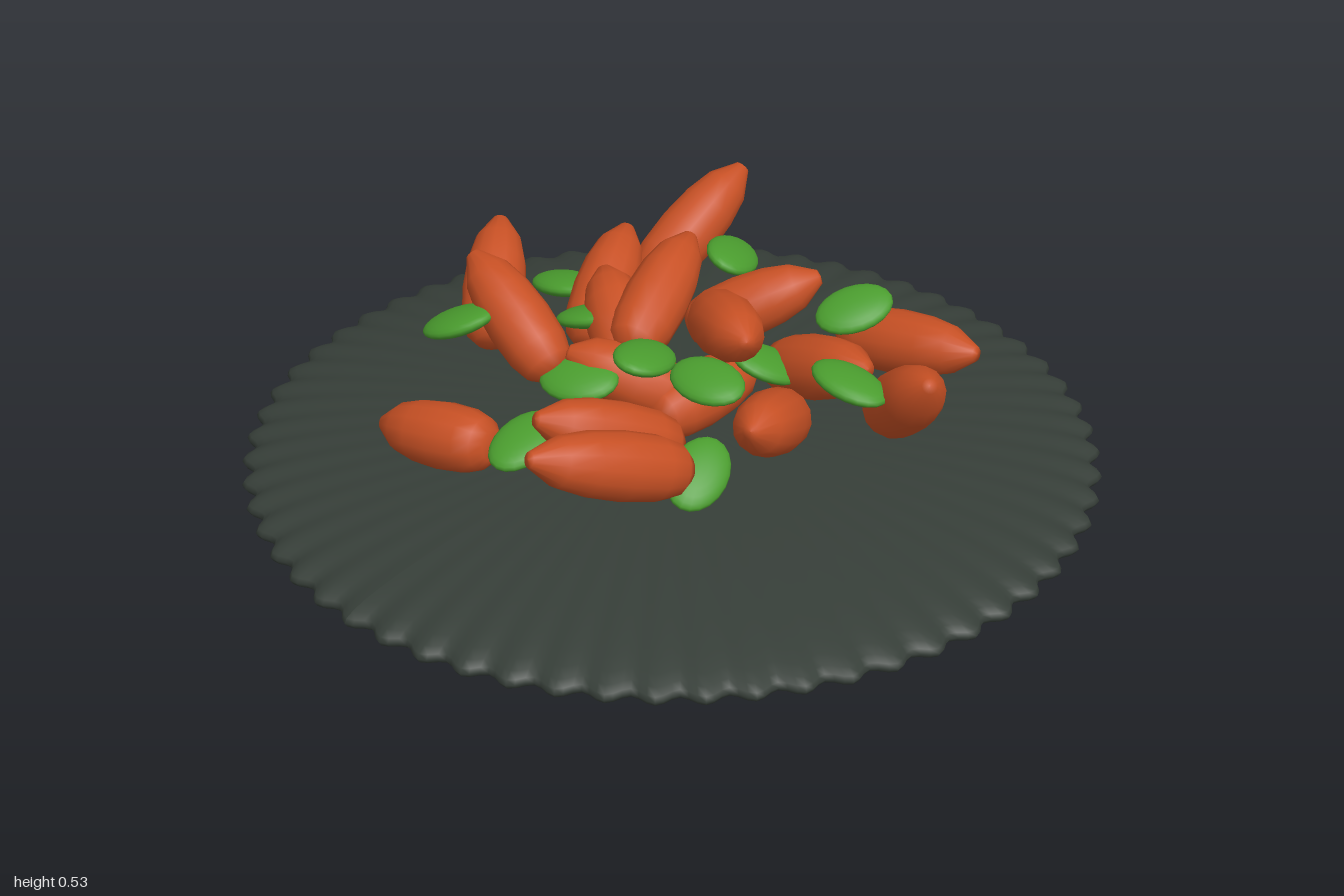
import * as THREE from 'three';

const mat = (name, color) => {
  const m = new THREE.MeshStandardMaterial({ color });
  m.name = name;
  return m;
};

// Shallow lens-shaped dish with a scalloped rim
function makePlate(material) {
  const geo = new THREE.SphereGeometry(1, 360, 28);
  const p = geo.attributes.position;
  for (let i = 0; i < p.count; i++) {
    const x = p.getX(i), z = p.getZ(i);
    const rho = Math.hypot(x, z);
    const wave = 0.5 - 0.5 * Math.cos(60 * Math.atan2(z, x));
    const k = 1 - 0.028 * wave * rho * rho;
    p.setXYZ(i, x * k, 0.1 + 0.095 * p.getY(i) * k, z * k);
  }
  geo.computeVertexNormals();
  const plate = new THREE.Mesh(geo, material);
  plate.name = 'plate';
  return plate;
}

// Tapered piece, unit length along +y: blunt base, narrow tip
function wedgeGeometry() {
  const profile = [[0, 0], [0.035, 0], [0.06, 0.07], [0.073, 0.2], [0.077, 0.42],
    [0.071, 0.64], [0.056, 0.82], [0.018, 0.99], [0, 1]];
  return new THREE.LatheGeometry(profile.map(([r, y]) => new THREE.Vector2(r, y)), 14);
}

// base x,y,z then tip x,y,z
const WEDGES = [
  // outer ring
  [-0.13, 0.24, -0.48, 0.10, 0.42, -0.68],
  [0.29, 0.28, -0.37, 0.62, 0.49, -0.35],
  [0.47, 0.26, 0.12, 0.51, 0.33, 0.49],
  [0.28, 0.24, 0.41, 0.12, 0.48, 0.66],
  [-0.31, 0.32, 0.34, -0.68, 0.47, 0.24],
  [-0.51, 0.30, -0.06, -0.57, 0.26, -0.36],
  // middle ring
  [-0.23, 0.33, -0.15, -0.20, 0.52, -0.45],
  [-0.02, 0.28, -0.26, 0.27, 0.43, -0.41],
  [0.24, 0.25, -0.17, 0.46, 0.39, 0.05],
  [0.24, 0.26, 0.11, 0.19, 0.40, 0.43],
  [0.10, 0.25, 0.27, -0.18, 0.39, 0.41],
  [-0.17, 0.25, 0.18, -0.49, 0.41, 0.06],
  // heap in the middle
  [0.13, 0.40, 0.00, -0.03, 0.49, 0.26],
  [-0.10, 0.38, -0.04, 0.23, 0.51, -0.16],
  [-0.09, 0.33, -0.04, 0.05, 0.45, -0.27],
  [-0.02, 0.26, 0.06, -0.20, 0.38, -0.14],
  [-0.12, 0.25, 0.06, 0.20, 0.27, 0.08],
];

// centre x,y,z, then long-axis direction x,z, then face normal x,y,z
const LEAVES = [
  [0.10, 0.32, -0.46, 0.12, -1, 0.1, 1, -0.2],
  [-0.31, 0.41, -0.38, 0.5, 1, -0.2, 1, -0.35],
  [0.42, 0.37, -0.20, 1, -0.4, 0.35, 1, 0.35],
  [-0.47, 0.32, 0.00, 1, -0.1, -0.3, 1, 0.1],
  [-0.16, 0.43, 0.07, 1, -0.25, 0.25, 1, 0.15],
  [0.42, 0.37, 0.19, 1, 0.5, -0.45, 1, 0.2],
  [0.10, 0.41, 0.45, 0.15, 1, 0.1, 1, 0.2],
  [-0.29, 0.31, 0.36, 1, -0.5, -0.35, 1, 0.6],
  [0.20, 0.33, -0.01, 1, -0.3, 0.3, 1, 0.1],
  [-0.05, 0.36, 0.16, 0.1, 1, -0.3, 1, 0.1],
  [-0.05, 0.39, -0.20, 0.5, 1, 0.1, 1, -0.3],
  [0.13, 0.34, -0.19, 1, 0.2, 0.2, 1, -0.2],
  [0.14, 0.33, 0.17, 1, 0.6, 0.3, 1, 0.4],
  [-0.22, 0.34, -0.08, 0.5, 1, -0.4, 1, 0.1],
];

export function createModel() {
  const group = new THREE.Group();
  const plateMat = mat('dark slate', 0x363e38);
  const wedgeMat = mat('roasted orange', 0xc75024);
  const leafMat = mat('fresh green', 0x4a9c2e);

  group.add(makePlate(plateMat));

  // Orange wedges spiralling outwards, tips raised
  const wedgeGeo = wedgeGeometry();
  const up = new THREE.Vector3(0, 1, 0);
  WEDGES.forEach(([bx, by, bz, tx, ty, tz], i) => {
    const base = new THREE.Vector3(bx, by, bz);
    const axis = new THREE.Vector3(tx, ty, tz).sub(base);
    const wedge = new THREE.Mesh(wedgeGeo, wedgeMat);
    wedge.name = `orangeWedge${i + 1}`;
    wedge.position.copy(base);
    wedge.scale.y = axis.length();
    wedge.quaternion.setFromUnitVectors(up, axis.normalize());
    group.add(wedge);
  });

  // Flat oval leaves tucked between the wedges
  const leafGeo = new THREE.SphereGeometry(1, 20, 12);
  LEAVES.forEach(([x, y, z, dx, dz, nx, ny, nz], i) => {
    const n = new THREE.Vector3(nx, ny, nz).normalize();
    const side = new THREE.Vector3(dx, 0, dz).cross(n).normalize();
    const long = n.clone().cross(side);
    const leaf = new THREE.Mesh(leafGeo, leafMat);
    leaf.name = `greenLeaf${i + 1}`;
    leaf.scale.set(0.095, 0.026, 0.066);
    leaf.quaternion.setFromRotationMatrix(new THREE.Matrix4().makeBasis(long, n, side));
    leaf.position.set(x, y, z);
    group.add(leaf);
  });

  return group;
}
